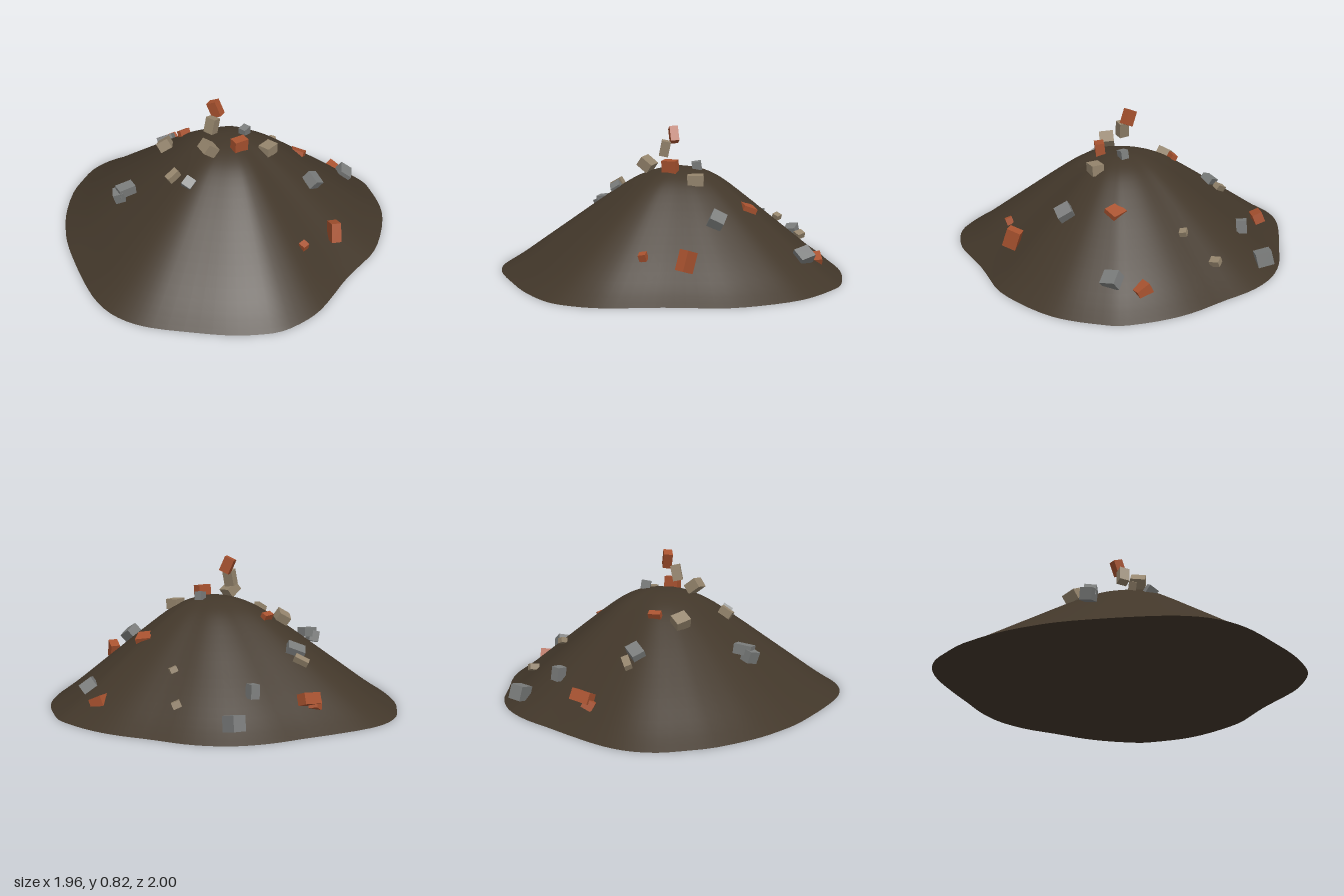
import * as THREE from 'three';

const mat = (name, color) => {
  const m = new THREE.MeshStandardMaterial({ color });
  m.name = name;
  return m;
};

// Ground outline (x, z), clockwise from the back
const OUTLINE = [
  [-0.325, -1], [-0.13, -0.98], [0.08, -0.945], [0.24, -0.92], [0.39, -0.87], [0.505, -0.8],
  [0.61, -0.7], [0.717, -0.55], [0.84, -0.386], [0.91, -0.254], [0.96, -0.106], [0.98, 0],
  [0.965, 0.1], [0.93, 0.24], [0.876, 0.36], [0.743, 0.53], [0.61, 0.65], [0.45, 0.73],
  [0.325, 0.794], [0.2, 0.873], [0.07, 0.947], [-0.055, 0.984], [-0.19, 0.995], [-0.32, 0.958],
  [-0.458, 0.894], [-0.606, 0.8], [-0.775, 0.683], [-0.86, 0.6], [-0.93, 0.49], [-0.97, 0.354],
  [-0.982, 0.196], [-0.98, 0], [-0.966, -0.21], [-0.934, -0.36], [-0.886, -0.51],
  [-0.775, -0.725], [-0.685, -0.83], [-0.58, -0.93], [-0.458, -0.985],
];

// Slope profile: (fraction of the way out, height)
const SLOPE = new THREE.SplineCurve([
  [0, 0.59], [0.1, 0.583], [0.2, 0.553], [0.3, 0.5], [0.45, 0.395], [0.6, 0.285],
  [0.75, 0.175], [0.9, 0.065], [1, 0],
].map(p => new THREE.Vector2(...p)));

function moundGeometry(edge) {
  const n = edge.length, rings = 24;
  const pos = [0, 0.59, 0], idx = [];
  for (let r = 1; r <= rings; r++) {
    const p = SLOPE.getPoint(r / rings);
    for (const e of edge) pos.push(e.x * p.x, p.y, e.z * p.x);
  }
  for (let j = 0; j < n; j++) {
    const k = (j + 1) % n;
    idx.push(0, 1 + k, 1 + j);
    for (let r = 0; r < rings - 1; r++) {
      const a = 1 + r * n + j, b = 1 + r * n + k;
      idx.push(a, b, a + n, b, b + n, a + n);
    }
  }
  const g = new THREE.BufferGeometry();
  g.setAttribute('position', new THREE.Float32BufferAttribute(pos, 3));
  g.setIndex(idx);
  g.computeVertexNormals();
  return g;
}

// Rubble: [position, size, rotation]
const BRICKS = [
  [[-0.06, 0.155, -0.825], [0.11, 0.06, 0.06], [0.4, 0.1, 0.1]],
  [[-0.1, 0.12, -0.825], [0.06, 0.05, 0.05], [0.2, 0.5, 0.4]],
  [[-0.16, 0.49, -0.305], [0.07, 0.06, 0.035], [-0.5, 0.25, 0.1]],
  [[0.785, 0.1, -0.115], [0.09, 0.06, 0.08], [0.5, 0.5, -0.2]],
  [[0.435, 0.365, 0.025], [0.08, 0.08, 0.09], [0.2, 0.75, -0.5]],
  [[-0.07, 0.77, -0.045], [0.05, 0.09, 0.06], [-0.5, 0.6, 0.35]],
  [[0, 0.595, 0.12], [0.085, 0.09, 0.055], [0.1, 0.12, 0]],
  [[0.365, 0.195, 0.595], [0.055, 0.11, 0.08], [-0.35, -0.2, -0.1]],
  [[0.138, 0.203, 0.645], [0.04, 0.04, 0.04], [0.3, 0.3, 0.1]],
];
const CONCRETE = [
  [[0.39, 0.095, -0.8], [0.075, 0.08, 0.09], [0.25, 0.1, 0.1]],
  [[0.205, 0.205, -0.695], [0.05, 0.075, 0.06], [0.1, -0.1, 0.1]],
  [[-0.19, 0.34, -0.535], [0.1, 0.06, 0.07], [-0.5, -0.6, 0.1]],
  [[-0.61, 0.33, -0.12], [0.1, 0.055, 0.065], [0.1, 0.1, 0.08]],
  [[-0.65, 0.3, -0.125], [0.06, 0.065, 0.07], [0.2, -0.3, 0.3]],
  [[0.785, 0.155, 0.035], [0.08, 0.06, 0.09], [0.25, -0.55, -0.5]],
  [[0.1, 0.6, -0.015], [0.055, 0.05, 0.045], [0.1, 0.5, 0.1]],
  [[-0.335, 0.465, 0.17], [0.06, 0.05, 0.06], [0.5, 0.6, 0.3]],
  [[0.39, 0.36, 0.3], [0.08, 0.06, 0.085], [0.5, 0.15, -0.6]],
];
const STONES = [
  [[-0.18, 0.295, -0.6], [0.08, 0.045, 0.04], [-0.5, -0.8, 0.1]],
  [[0.55, 0.145, -0.515], [0.045, 0.035, 0.055], [0.2, -0.5, -0.3]],
  [[0.47, 0.28, -0.345], [0.04, 0.03, 0.04], [0.2, -0.3, -0.3]],
  [[-0.3, 0.475, -0.27], [0.075, 0.06, 0.085], [-0.3, -0.5, 0.4]],
  [[-0.11, 0.69, -0.01], [0.055, 0.09, 0.06], [0.1, 0.5, -0.25]],
  [[-0.175, 0.605, 0.085], [0.08, 0.06, 0.085], [0.1, 0.05, -0.65]],
  [[0.175, 0.54, 0.14], [0.09, 0.06, 0.07], [0.05, 0.45, 0]],
  [[-0.39, 0.475, 0.075], [0.075, 0.045, 0.04], [0.1, 0.2, 0.5]],
];

export function createModel() {
  const model = new THREE.Group();
  model.name = 'rubbleMound';
  const dirt = mat('dirt', 0x42372a);

  // Earth mound with a flat underside
  const curve = new THREE.CatmullRomCurve3(OUTLINE.map(([x, z]) => new THREE.Vector3(x, 0, z)), true);
  const edge = curve.getPoints(96).slice(0, -1);
  const mound = new THREE.Mesh(moundGeometry(edge), dirt);
  mound.name = 'mound';
  const disc = new THREE.ShapeGeometry(new THREE.Shape(edge.map(e => new THREE.Vector2(e.x, e.z))));
  const underside = new THREE.Mesh(disc.rotateX(Math.PI / 2), dirt);
  underside.name = 'underside';
  model.add(mound, underside);

  // Scattered chunks, grouped by material
  const scatter = (name, list, material) => {
    const group = new THREE.Group();
    group.name = name + 's';
    list.forEach(([p, s, r], i) => {
      const chunk = new THREE.Mesh(new THREE.BoxGeometry(...s), material);
      chunk.name = name + (i + 1);
      chunk.position.set(...p);
      chunk.rotation.set(...r);
      group.add(chunk);
    });
    model.add(group);
  };
  scatter('brick', BRICKS, mat('brickOrange', 0xa8522f));
  scatter('concreteChunk', CONCRETE, mat('concreteGrey', 0x7a7c7b));
  scatter('stone', STONES, mat('stoneTan', 0x94846c));
  return model;
}
